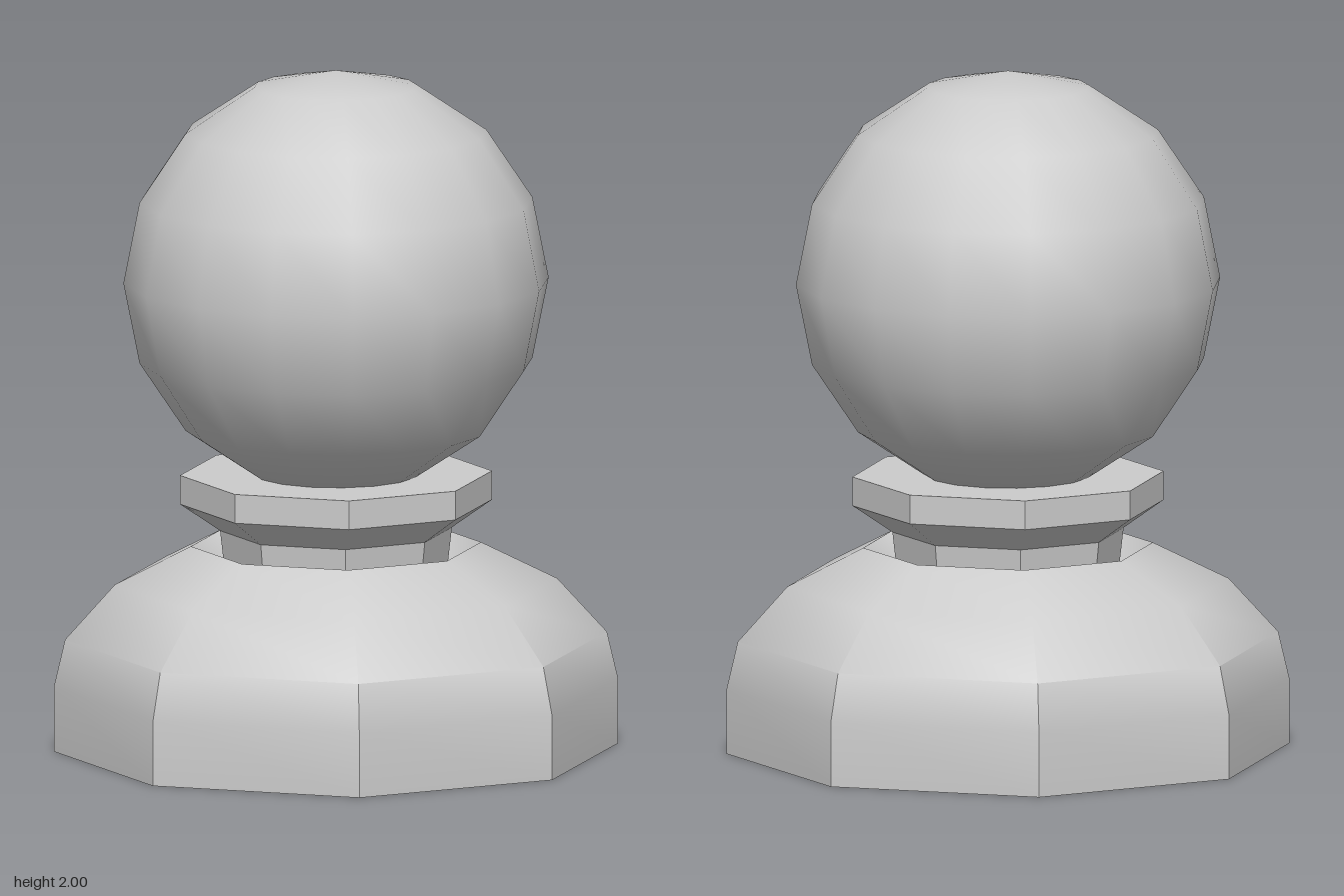
import * as THREE from 'three';
import { toCreasedNormals } from 'three/addons/utils/BufferGeometryUtils.js';

const material = new THREE.MeshStandardMaterial({ color: 0xcccccc });

// Octagonal turned part from [radius, height] pairs, listed bottom to top
function turned(name, profile) {
  const points = profile.map(([r, y]) => new THREE.Vector2(r, y));
  const geometry = toCreasedNormals(new THREE.LatheGeometry(points, 8), 0.7);
  const mesh = new THREE.Mesh(geometry, material);
  mesh.name = name;
  return mesh;
}

export function createModel() {
  const group = new THREE.Group();
  group.name = 'pawn';

  // Domed base with a shallow dished top around the neck
  group.add(turned('base', [
    [0, 0], [0.823, 0], [0.823, 0.19], [0.79, 0.33],
    [0.645, 0.49], [0.423, 0.6], [0.325, 0.53], [0, 0.53],
  ]));

  // Short neck flaring into a flat-topped collar
  group.add(turned('collar', [
    [0.325, 0.53], [0.338, 0.645], [0.455, 0.725], [0.455, 0.81], [0, 0.81],
  ]));

  // Round head resting in the collar
  const head = new THREE.Mesh(new THREE.SphereGeometry(0.62, 16, 8), material);
  head.name = 'head';
  head.position.y = 1.38;
  group.add(head);

  return group;
}
